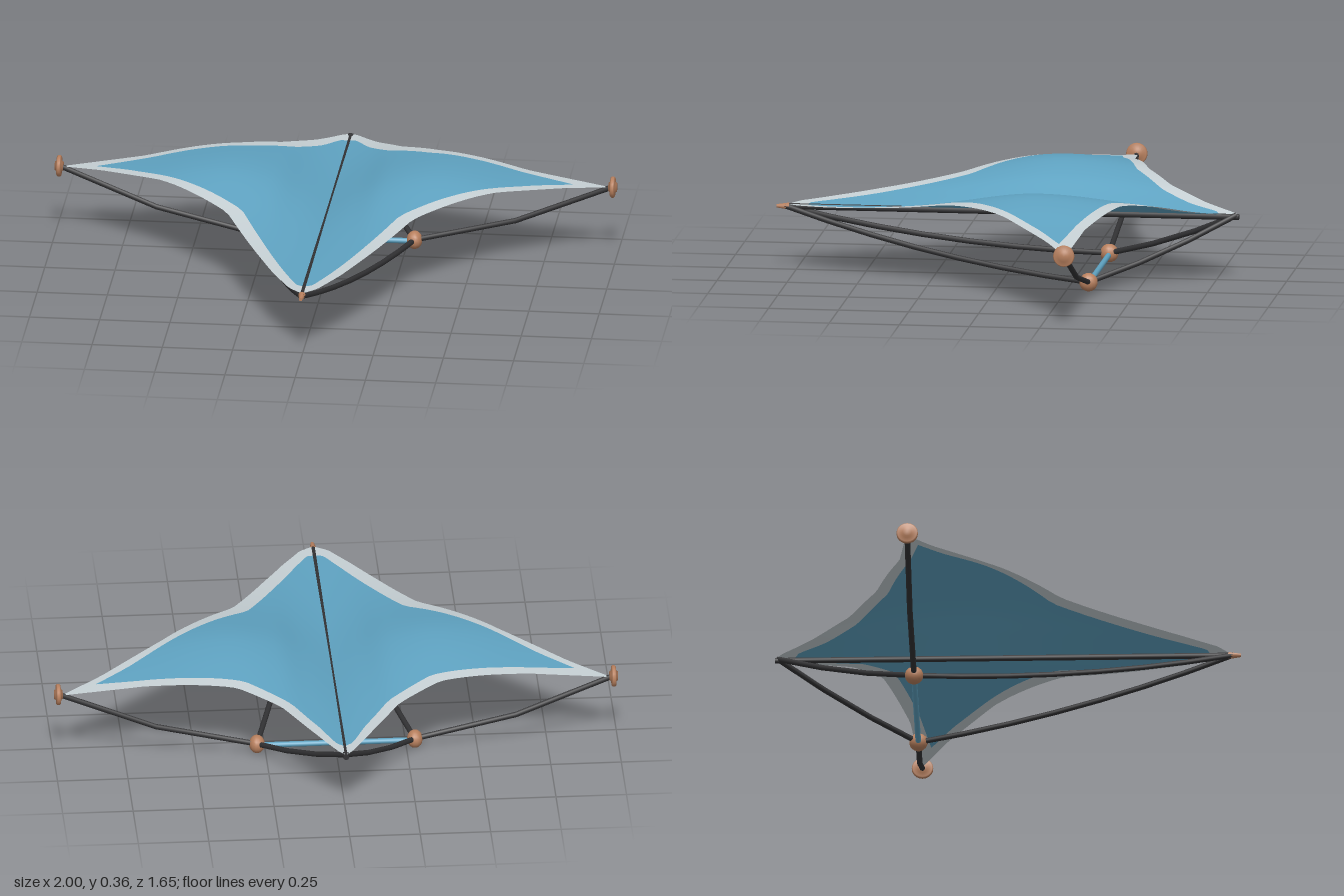
import * as THREE from 'three';

// Piecewise interpolation of [x, y] points: linear, or smooth (cubic Hermite)
function interp(pts, x, smooth = false) {
  const n = pts.length - 1;
  let i = 0;
  while (i < n - 1 && x > pts[i + 1][0]) i++;
  const [x0, y0] = pts[i], [x1, y1] = pts[i + 1];
  const t = Math.min(1, Math.max(0, (x - x0) / (x1 - x0)));
  if (!smooth) return y0 + (y1 - y0) * t;
  const slope = (k) => {
    const a = pts[Math.max(0, k - 1)], b = pts[Math.min(n, k + 1)];
    return (b[1] - a[1]) / (b[0] - a[0]);
  };
  const d = x1 - x0, s = t * t * (3 - 2 * t);
  return y0 + (y1 - y0) * s + d * slope(i) * t * (1 - t) * (1 - t) - d * slope(i + 1) * t * t * (1 - t);
}

// Sail outline and inner panel outline, as z over x
const backEdge = [[0, -0.83], [0.03, -0.8], [0.1, -0.7], [0.21, -0.56], [0.36, -0.46], [0.68, -0.37], [0.97, -0.34]];
const frontEdge = [[0, 0.78], [0.05, 0.74], [0.12, 0.62], [0.2, 0.46], [0.33, 0.19], [0.6, -0.07], [0.83, -0.25], [0.97, -0.335]];
const backInner = [[0, -0.76], [0.03, -0.745], [0.08, -0.65], [0.17, -0.53], [0.33, -0.42], [0.65, -0.335], [0.85, -0.3], [0.97, -0.338]];
const frontInner = [[0, 0.71], [0.03, 0.7], [0.08, 0.6], [0.14, 0.47], [0.28, 0.16], [0.55, -0.07], [0.73, -0.22], [0.85, -0.3], [0.97, -0.338]];
const crest = [[0, 0], [0.1, 0.048], [0.2, 0.094], [0.35, 0.12], [0.5, 0.109], [0.7, 0.07], [0.97, 0.025]];

// Billow of the sail, highest just behind the middle
function sailHeight(x, z) {
  const d = (z + 0.15) / (z > -0.15 ? 0.416 : 0.54);
  return 0.235 + interp(crest, x, true) / (1 + d * d);
}

const columns = [];
for (let i = 0; i <= 36; i++) columns.push(0.85 * Math.pow(i / 36, 1.4));
const tipColumns = [...columns, 0.89, 0.93, 0.97];

// One sheet between two outlines on the chosen side
function sheet(xs, zA, zB, rows, side) {
  const pos = [], index = [];
  xs.forEach((x, i) => {
    const a = interp(zA, x), b = interp(zB, x);
    for (let j = 0; j <= rows; j++) {
      const z = a + (b - a) * j / rows;
      pos.push(side * x, sailHeight(x, z), z);
      if (i && j) {
        const q = i * (rows + 1) + j, p = q - rows - 1;
        if (side > 0) index.push(p - 1, p, q, p - 1, q, q - 1);
        else index.push(p - 1, q, p, p - 1, q - 1, q);
      }
    }
  });
  const g = new THREE.BufferGeometry();
  g.setAttribute('position', new THREE.Float32BufferAttribute(pos, 3));
  g.setIndex(index);
  g.computeVertexNormals();
  return g;
}

export function createModel() {
  const model = new THREE.Group();
  const material = (name, color, side = THREE.FrontSide) => {
    const m = new THREE.MeshStandardMaterial({ color, side });
    m.name = name;
    return m;
  };
  const blue = material('sailBlue', 0x5fa3c2, THREE.DoubleSide);
  const white = material('borderWhite', 0xc6d0d4, THREE.DoubleSide);
  const dark = material('darkRod', 0x323234);
  const bronze = material('bronze', 0xb8805e);

  const add = (name, geometry, mat, x = 0, y = 0, z = 0) => {
    const mesh = new THREE.Mesh(geometry, mat);
    mesh.name = name;
    mesh.position.set(x, y, z);
    model.add(mesh);
    return mesh;
  };

  // Bowed rod through a middle point
  const rod = (name, a, mid, b, segments) => {
    const [A, M, B] = [a, mid, b].map((p) => new THREE.Vector3(...p));
    const control = M.multiplyScalar(2).addScaledVector(A, -0.5).addScaledVector(B, -0.5);
    const curve = new THREE.QuadraticBezierCurve3(A, control, B);
    add(name, new THREE.TubeGeometry(curve, segments, 0.01, 8), dark);
  };

  // Stepped disc for the wing tips
  const discProfile = [[0, -0.015], [0.016, -0.015], [0.02, -0.008], [0.034, -0.008], [0.038, -0.004],
    [0.038, 0.004], [0.034, 0.008], [0.02, 0.008], [0.016, 0.015], [0, 0.015]].map((p) => new THREE.Vector2(...p));

  for (const s of [1, -1]) {
    const label = s > 0 ? 'left' : 'right';

    // Sail half with its pale border
    add(label + 'SailPanel', sheet(columns, backInner, frontInner, 28, s), blue);
    add(label + 'BackBorder', sheet(tipColumns, backEdge, backInner, 3, s), white);
    add(label + 'FrontBorder', sheet(tipColumns, frontInner, frontEdge, 3, s), white);

    // Rods from the hub to the wing tip, nose and tail
    const hub = [s * 0.28, 0.033, -0.33];
    rod(label + 'WingRod', hub, [s * 0.62, 0.112, -0.335], [s * 0.98, 0.258, -0.335], 2);
    rod(label + 'NoseRod', hub, [s * 0.14, 0.1, 0.235], [0, 0.228, 0.79], 7);
    rod(label + 'TailRod', hub, [s * 0.14, 0.119, -0.575], [0, 0.233, -0.82], 3);

    // Hub and tip disc
    add(label + 'Hub', new THREE.SphereGeometry(0.033, 14, 10), bronze, ...hub).scale.x = 0.85;
    const disc = add(label + 'TipDisc', new THREE.LatheGeometry(discProfile, 20), bronze, s * 0.985, 0.259, -0.335);
    disc.rotation.z = Math.PI / 2;
  }

  // Keel under the sail fold
  add('keel', new THREE.CylinderGeometry(0.011, 0.011, 1.61, 8), dark, 0, 0.227, -0.025).rotation.x = Math.PI / 2;

  // Nose tip
  add('noseTip', new THREE.CylinderGeometry(0.006, 0.013, 0.045, 10), bronze, 0, 0.227, 0.797).rotation.x = Math.PI / 2;

  // Spreader bar between the hubs
  add('spreaderBar', new THREE.CylinderGeometry(0.01, 0.01, 0.54, 10), blue, 0, 0.028, -0.33).rotation.z = Math.PI / 2;

  return model;
}
